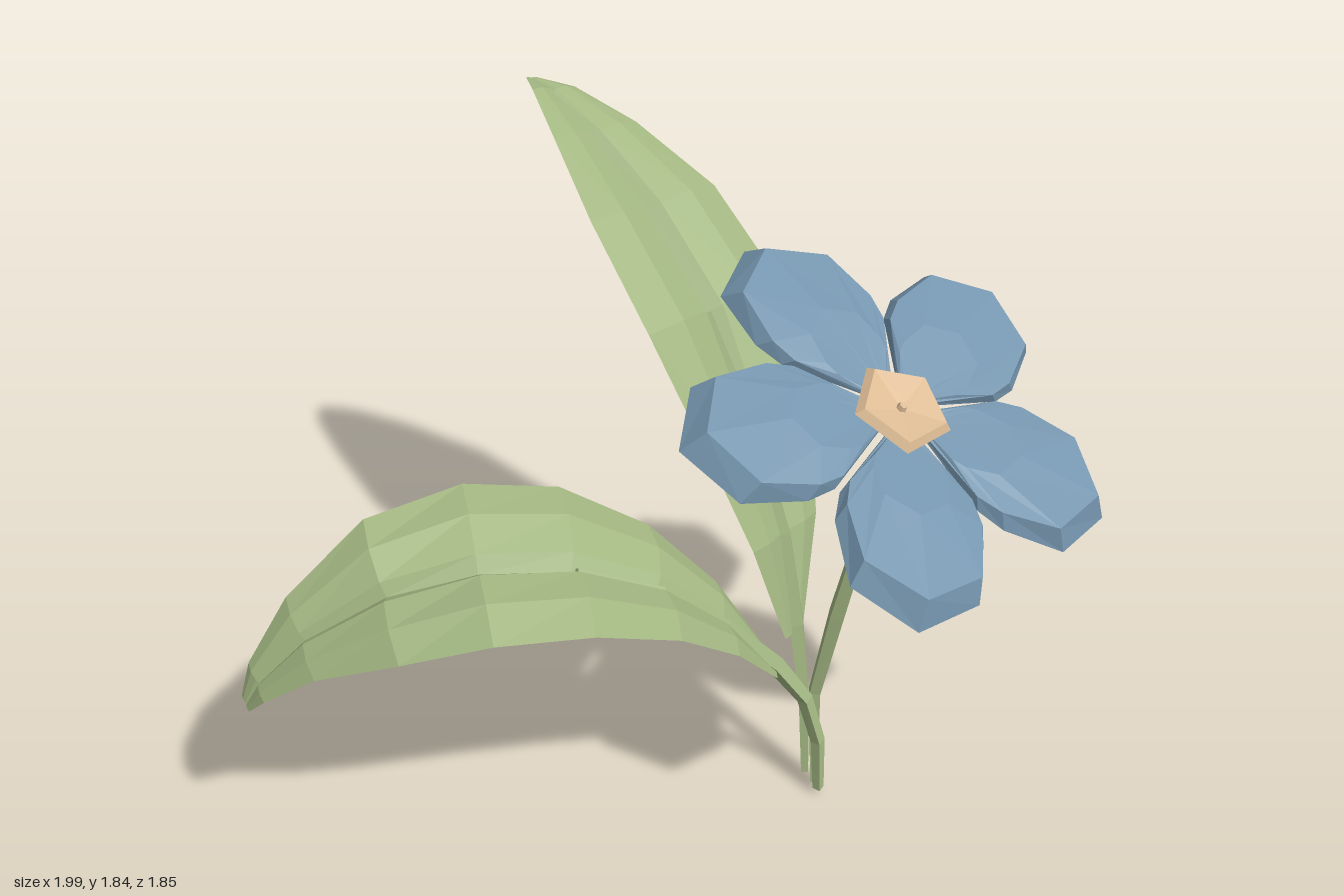
import * as THREE from 'three';

const flat = (name, color) => {
  const m = new THREE.MeshStandardMaterial({ color, flatShading: true, side: THREE.DoubleSide });
  m.name = name;
  return m;
};

// Surface through rows of points, all rows the same length
function surface(rows) {
  const n = rows[0].length, index = [];
  for (let r = 0; r < rows.length - 1; r++)
    for (let c = 0; c < n - 1; c++) {
      const a = r * n + c, b = a + 1, d = a + n, e = d + 1;
      index.push(a, b, d, b, e, d);
    }
  const g = new THREE.BufferGeometry().setFromPoints(rows.flat());
  g.setIndex(index);
  g.computeVertexNormals();
  return g;
}

const tangentAt = (pts, i) =>
  pts[Math.min(i + 1, pts.length - 1)].clone().sub(pts[Math.max(i - 1, 0)]).normalize();

// Tapering four-sided stalk; each entry is x, y, z, radius
function stalk(path, side) {
  const pts = path.map(p => new THREE.Vector3(p[0], p[1], p[2]));
  const rows = pts.map((p, i) => {
    const up = side.clone().cross(tangentAt(pts, i)).normalize();
    return [0, 1, 2, 3, 0].map(k => {
      const a = k * Math.PI / 2, r = path[i][3];
      return p.clone().addScaledVector(side, Math.cos(a) * r).addScaledVector(up, Math.sin(a) * r);
    });
  });
  // Close both ends
  rows.unshift(rows[0].map(() => pts[0].clone()));
  rows.push(rows[0].map(() => pts[pts.length - 1].clone()));
  return surface(rows);
}

// Leaf cross-section: sideways share of half width, lift share of half width
const SECTION = [[-1, 0.02], [-0.55, 0.08], [-0.13, -0.01], [0, -0.15], [0.13, -0.01], [0.55, 0.08], [1, 0.02]];

// Arching blade; each entry is x, y, z, half width, roll about its length
function blade(path, side) {
  const pts = path.map(p => new THREE.Vector3(p[0], p[1], p[2]));
  return surface(pts.map((p, i) => {
    const [, , , half, roll] = path[i];
    const up = side.clone().cross(tangentAt(pts, i)).normalize();
    const c = Math.cos(roll), s = Math.sin(roll);
    return SECTION.map(([u, lift]) => p.clone()
      .addScaledVector(side, (u * c - lift * s) * half)
      .addScaledVector(up, (u * s + lift * c) * half));
  }));
}

// Petal pointing to -z, fanned from its root, with a folded-down lip
function petalGeometry() {
  const length = 0.605, root = 0.05;
  const half = [[0.04, 0.07], [0.18, 0.26], [0.198, 0.34], [0.17, 0.51]];
  const outline = [...half.map(([w, s]) => [-w, s]), [0, length], ...half.reverse()];
  const rings = [[0.05, 0], [0.5, 0.028], [0.91, 0.01], [1, -0.06]];
  return surface(rings.map(([k, h]) => outline.map(([w, s]) =>
    new THREE.Vector3(w * k, h * s / length, -(root + (s - root) * k)))));
}

export function createModel() {
  const leafGreen = flat('leaf green', 0xa3b782);
  const petalBlue = flat('petal blue', 0x7595ae);
  const centrePeach = flat('centre peach', 0xdcbb94);

  const model = new THREE.Group();
  model.name = 'flowerPlant';
  const add = (parent, name, geometry, material) => {
    const mesh = new THREE.Mesh(geometry, material);
    mesh.name = name;
    parent.add(mesh);
    return mesh;
  };

  // Flower stem
  const xAxis = new THREE.Vector3(1, 0, 0);
  add(model, 'stem', stalk([
    [0.42, 0, 0.31, 0.015], [0.412, 0.34, 0.297, 0.022], [0.415, 0.65, 0.355, 0.027],
    [0.42, 1.0, 0.43, 0.023], [0.422, 1.36, 0.505, 0.018]], xAxis), leafGreen);

  // Tall back leaf, its left edge raised
  const backLeaf = new THREE.Group();
  backLeaf.name = 'backLeaf';
  model.add(backLeaf);
  add(backLeaf, 'backLeafBlade', blade([
    [0.41, 0.5, 0.205, 0.04, -0.1], [0.435, 0.8, 0.125, 0.145, -0.13], [0.45, 1.06, 0.0, 0.225, -0.15],
    [0.46, 1.37, -0.2, 0.285, -0.16], [0.46, 1.59, -0.45, 0.255, -0.16], [0.45, 1.735, -0.68, 0.165, -0.18],
    [0.435, 1.815, -0.84, 0.085, -0.25], [0.425, 1.825, -0.925, 0.02, -0.25]], xAxis), leafGreen);
  add(backLeaf, 'backLeafStalk', stalk([
    [0.422, 0.01, 0.27, 0.015], [0.418, 0.3, 0.25, 0.021], [0.43, 0.52, 0.195, 0.028],
    [0.45, 0.78, 0.105, 0.03], [0.46, 1.04, -0.03, 0.026], [0.462, 1.34, -0.23, 0.015]], xAxis), leafGreen);

  // Drooping side leaf, twisting towards its tip
  const sideLeaf = new THREE.Group();
  sideLeaf.name = 'sideLeaf';
  model.add(sideLeaf);
  const across = new THREE.Vector3(0.5, 0.17, -0.85).normalize();
  add(sideLeaf, 'sideLeafBlade', blade([
    [0.27, 0.49, 0.26, 0.05, 0], [0.13, 0.7, 0.21, 0.14, 0], [-0.04, 0.87, 0.14, 0.215, 0],
    [-0.25, 0.985, 0.035, 0.275, 0], [-0.48, 1.025, -0.08, 0.28, 0.05], [-0.69, 0.97, -0.21, 0.225, 0.22],
    [-0.86, 0.83, -0.345, 0.13, 0.3], [-0.96, 0.69, -0.425, 0.065, 0.3], [-0.985, 0.615, -0.455, 0.028, 0.3]],
  across), leafGreen);
  add(sideLeaf, 'sideLeafStalk', stalk([
    [0.39, 0.02, 0.355, 0.017], [0.385, 0.2, 0.345, 0.021], [0.35, 0.36, 0.315, 0.023],
    [0.27, 0.5, 0.265, 0.028], [0.12, 0.68, 0.21, 0.026], [-0.05, 0.84, 0.14, 0.022],
    [-0.25, 0.95, 0.035, 0.012]], across), leafGreen);

  // Tilted flower head
  const flower = new THREE.Group();
  flower.name = 'flower';
  flower.position.set(0.425, 1.37, 0.5);
  flower.rotation.x = THREE.MathUtils.degToRad(28);
  model.add(flower);

  const petal = petalGeometry();
  for (let i = 0; i < 5; i++)
    add(flower, 'petal' + (i + 1), petal, petalBlue).rotation.y = i * Math.PI * 2 / 5;

  // Five-sided shallow cup with a small knob
  const cup = [[0, -0.03], [0.06, -0.018], [0.138, 0.01], [0.118, 0.03], [0.02, 0.012], [0, 0.012]]
    .map(([r, y]) => new THREE.Vector2(r, y));
  add(flower, 'flowerCup', new THREE.LatheGeometry(cup, 5, Math.PI), centrePeach);
  add(flower, 'flowerKnob', new THREE.CylinderGeometry(0.01, 0.015, 0.014, 6), centrePeach).position.y = 0.018;

  return model;
}
